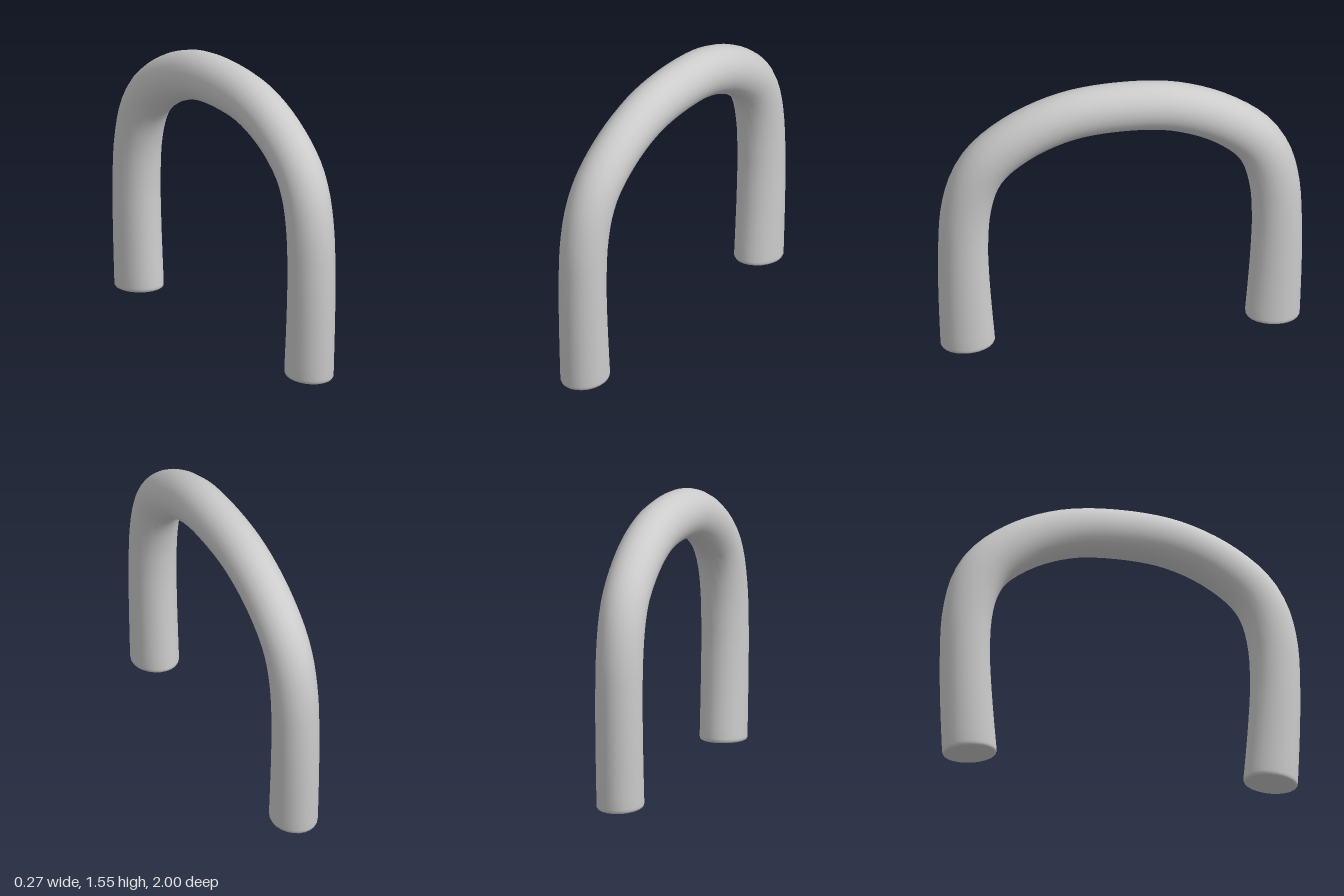
import * as THREE from 'three';

// Centre line of one half of the arch, from foot to just before the crown
const HALF = [
  [-0.009, 0.008, 0.837], [-0.009, 0.2, 0.849], [-0.009, 0.4, 0.859], [-0.009, 0.62, 0.863],
  [-0.008, 0.84, 0.85], [-0.005, 1.02, 0.805], [-0.001, 1.15, 0.725], [0.003, 1.285, 0.55],
  [0.006, 1.375, 0.34], [0.007, 1.41, 0.15],
];
const SIDES = 24;
const STEPS = 64;

// Foot rounding: [scale of section, distance in along the path]
const FOOT = [[0, 0.012], [0.5, 0.009], [0.8, 0.002], [0.9, 0], [0.96, 0.004], [0.99, 0.012]];

function archGeometry() {
  const pts = HALF.map(p => new THREE.Vector3(...p));
  const mirrored = HALF.map(([x, y, z]) => new THREE.Vector3(x, y, -z)).reverse();
  const curve = new THREE.CatmullRomCurve3([...pts, ...mirrored], false, 'centripetal');
  const length = curve.getLength();

  // Stations along the path: rounded foot, body, rounded foot
  const stations = FOOT.map(([s, d]) => [d / length, s]);
  for (let i = 0; i <= STEPS; i++) {
    stations.push([THREE.MathUtils.lerp(0.024 / length, 1 - 0.024 / length, i / STEPS), 1]);
  }
  for (const [s, d] of [...FOOT].reverse()) stations.push([1 - d / length, s]);

  const X = new THREE.Vector3(1, 0, 0);
  const position = [], index = [];
  stations.forEach(([u, scale], i) => {
    const p = curve.getPointAt(u);
    const n = X.clone().cross(curve.getTangentAt(u)).normalize();
    // Legs flare a little in depth toward the feet
    const flare = Math.max(0, 1 - p.y / 0.6);
    const rn = (0.136 + 0.014 * flare) * scale;
    const rx = 0.128 * scale;
    for (let j = 0; j < SIDES; j++) {
      const a = (j / SIDES) * Math.PI * 2;
      const v = p.clone().addScaledVector(n, rn * Math.cos(a)).addScaledVector(X, rx * Math.sin(a));
      position.push(v.x, v.y, v.z);
      if (i === stations.length - 1) continue;
      const k = (j + 1) % SIDES;
      const A = i * SIDES + j, B = i * SIDES + k;
      index.push(A, B, A + SIDES, B, B + SIDES, A + SIDES);
    }
  });

  const geo = new THREE.BufferGeometry();
  geo.setAttribute('position', new THREE.Float32BufferAttribute(position, 3));
  geo.setIndex(index);
  geo.computeVertexNormals();
  return geo;
}

export function createModel() {
  const group = new THREE.Group();
  group.name = 'arch';
  const tube = new THREE.Mesh(archGeometry(), new THREE.MeshStandardMaterial({ color: 0xcccccc }));
  tube.name = 'archedTube';
  group.add(tube);
  return group;
}
